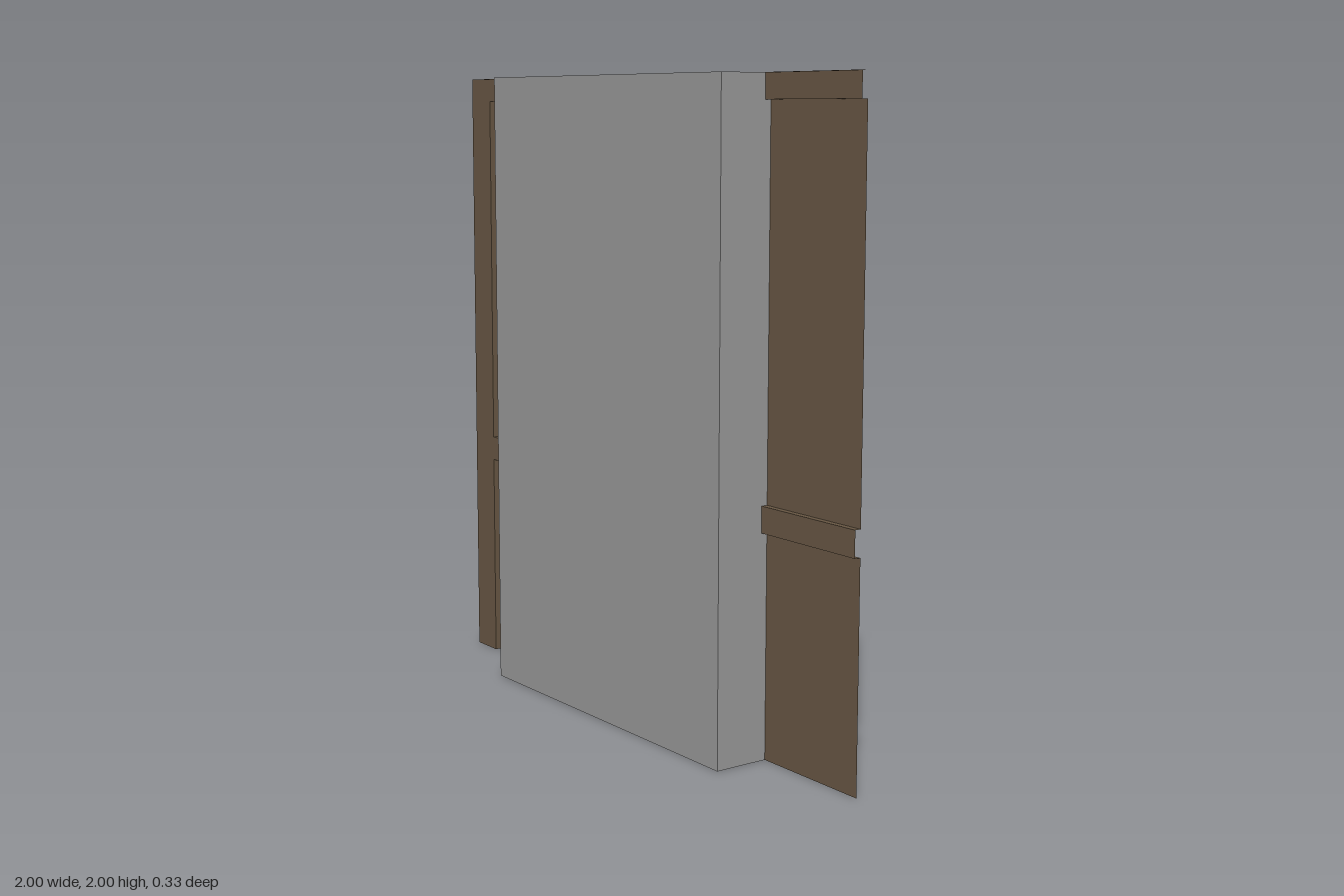
import * as THREE from 'three';

export function createModel() {
  const model = new THREE.Group();
  const grey = new THREE.MeshStandardMaterial({ color: 0x989898 });
  grey.name = 'grey';
  const brown = new THREE.MeshStandardMaterial({ color: 0x675643, side: THREE.DoubleSide });
  brown.name = 'brown';

  const FRONT = 0.008, RECESS = -0.012, BACK = -0.023, LIP = -0.038;
  const STILE = -0.885; // inner edge of the stile

  const add = (parent, name, geometry, material) => {
    const mesh = new THREE.Mesh(geometry, material);
    mesh.name = name;
    parent.add(mesh);
    return mesh;
  };

  // Solid block in the middle
  add(model, 'block', new THREE.BoxGeometry(1.195, 2, 0.33).translate(0, 1, 0), grey);

  // Pressed sheet running through the block, open at its +x end
  const sheet = new THREE.Group();
  sheet.name = 'panelledSheet';
  model.add(sheet);

  const facing = (name, x0, x1, y0, y1, z) =>
    add(sheet, name, new THREE.PlaneGeometry(x1 - x0, y1 - y0)
      .translate((x0 + x1) / 2, (y0 + y1) / 2, z), brown);
  const upright = (name, x, y0, y1, z0, z1, turn) =>
    add(sheet, name, new THREE.PlaneGeometry(z1 - z0, y1 - y0)
      .rotateY(turn * Math.PI / 2).translate(x, (y0 + y1) / 2, (z0 + z1) / 2), brown);
  const ledge = (name, y, turn) =>
    add(sheet, name, new THREE.PlaneGeometry(1 - STILE, FRONT - RECESS)
      .rotateX(turn * Math.PI / 2).translate((1 + STILE) / 2, y, (FRONT + RECESS) / 2), brown);

  // Raised frame
  facing('stile', -1, STILE, 0, 2, FRONT);
  facing('topRail', STILE, 1, 1.925, 2, FRONT);
  facing('middleRail', STILE, 1, 0.685, 0.765, FRONT);

  // Recessed panels with their side walls and ledges
  for (const [name, y0, y1] of [['lower', 0, 0.685], ['upper', 0.765, 1.925]]) {
    facing(name + 'Panel', STILE, 1, y0, y1, RECESS);
    upright(name + 'PanelSide', STILE, y0, y1, RECESS, FRONT, 1);
    ledge(name + 'PanelHead', y1, 1);
    if (y0 > 0) ledge(name + 'PanelSill', y0, -1);
  }

  // Folded edges: deep return at the -x side, tapering into the top return
  upright('sideReturn', -1, 0, 2, LIP, FRONT, -1);
  const top = new THREE.Shape([
    [-1, -FRONT], [1, -FRONT], [1, -BACK], [-0.89, -BACK], [-1, -LIP],
  ].map(([x, y]) => new THREE.Vector2(x, y)));
  add(sheet, 'topReturn', new THREE.ShapeGeometry(top)
    .rotateX(-Math.PI / 2).translate(0, 2.0005, 0), brown);

  return model;
}
